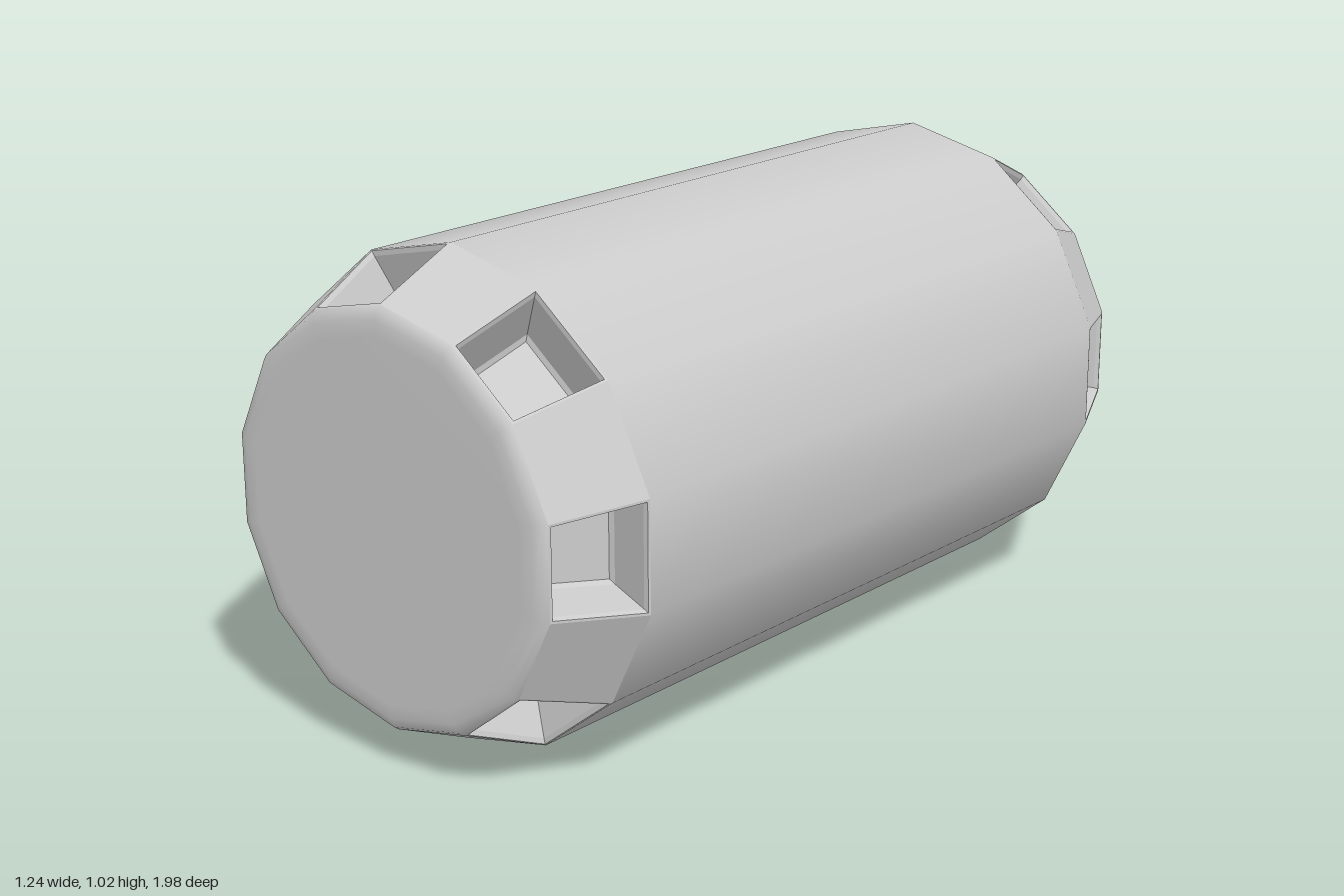
import * as THREE from 'three';

const SIDES = 14;
const BODY_R = 0.51, BODY_Z = 0.74;   // straight barrel
const CAP_R = 0.427, CAP_Z = 0.922;   // end of the tapered rim

// Tapered rim: every second facet holds a recessed pocket
function rimGeometry() {
  const pos = [];
  const quad = (a, b, c, d) => [a, b, c, a, c, d].forEach(p => pos.push(p.x, p.y, p.z));
  const point = (r, a, z) => new THREE.Vector3(r * Math.cos(a), r * Math.sin(a), z);
  // shrink toward the facet centre, and depth, of each pocket ring
  const rings = [[0.05, 0], [0.09, 0.01], [0.2, 0.118], [0.27, 0.128]];

  for (let k = 0; k < SIDES; k++) {
    const a0 = (k - 0.5) * 2 * Math.PI / SIDES, a1 = (k + 0.5) * 2 * Math.PI / SIDES;
    const facet = [point(BODY_R, a0, BODY_Z), point(BODY_R, a1, BODY_Z),
      point(CAP_R, a1, CAP_Z), point(CAP_R, a0, CAP_Z)];
    if (k % 2) { quad(...facet); continue; }

    const centre = facet.reduce((s, p) => s.add(p), new THREE.Vector3()).multiplyScalar(0.25);
    const normal = facet[1].clone().sub(facet[0])
      .cross(facet[3].clone().sub(facet[0])).normalize();
    let outer = facet;
    for (const [shrink, depth] of rings) {
      const inner = facet.map(p => p.clone().lerp(centre, shrink).addScaledVector(normal, -depth));
      for (let i = 0; i < 4; i++) {
        const j = (i + 1) % 4;
        quad(outer[i], outer[j], inner[j], inner[i]);
      }
      outer = inner;
    }
    quad(...outer); // pocket floor
  }
  const geo = new THREE.BufferGeometry();
  geo.setAttribute('position', new THREE.Float32BufferAttribute(pos, 3));
  geo.computeVertexNormals();
  return geo;
}

export function createModel() {
  const model = new THREE.Group();
  model.name = 'barrel';
  const material = new THREE.MeshStandardMaterial({ color: 0xcccccc });
  const add = (parent, name, geo) => {
    const mesh = new THREE.Mesh(geo, material);
    mesh.name = name;
    parent.add(mesh);
  };

  // Smooth-shaded barrel lying along z
  const body = new THREE.CylinderGeometry(BODY_R, BODY_R, BODY_Z * 2, SIDES, 1, true);
  add(model, 'body', body.rotateX(Math.PI / 2));

  // End plate with a softened edge
  const profile = [[CAP_R, CAP_Z], [0.419, 0.932], [0.4, 0.938], [0.37, 0.94], [0, 0.94]]
    .map(([r, z]) => new THREE.Vector2(r, z));
  const plate = new THREE.LatheGeometry(profile, SIDES).rotateX(Math.PI / 2);
  const rim = rimGeometry();

  // The two ends are the same part, turned half around
  for (const [name, turn] of [['frontEnd', 0], ['backEnd', Math.PI]]) {
    const end = new THREE.Group();
    end.name = name;
    add(end, 'pocketRim', rim);
    add(end, 'endPlate', plate);
    end.rotation.x = turn;
    model.add(end);
  }

  model.position.y = BODY_R;
  model.rotation.y = THREE.MathUtils.degToRad(10);
  const root = new THREE.Group();
  root.name = 'model';
  root.add(model);
  return root;
}
